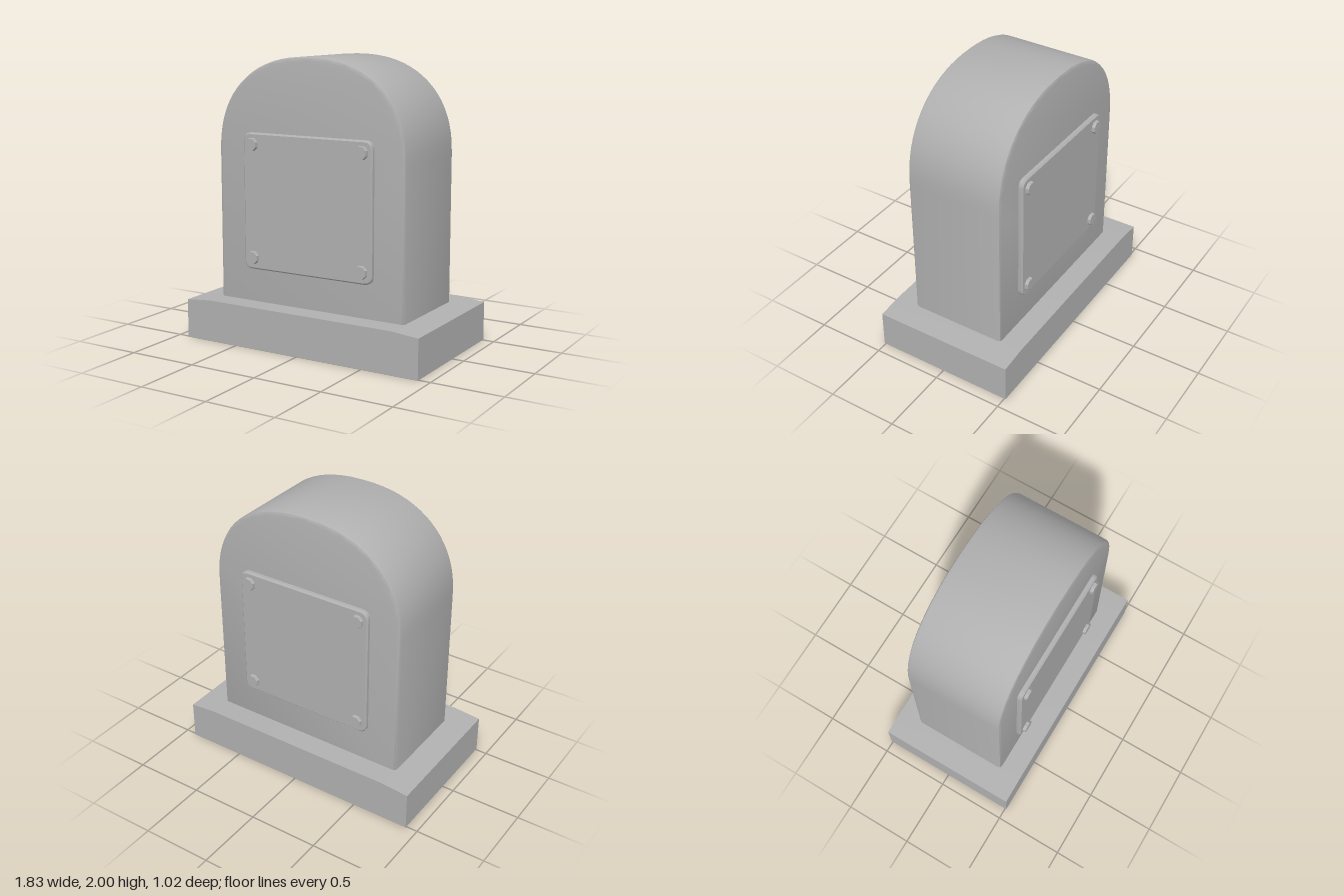
import * as THREE from 'three';
import { toCreasedNormals } from 'three/addons/utils/BufferGeometryUtils.js';

// Extrude a shape with a rounded rim, centred on z = 0, overall depth included
function slab(shape, depth, bevel, segments = 2) {
  const geo = new THREE.ExtrudeGeometry(shape, {
    depth: depth - 2 * bevel, steps: 1, curveSegments: 6,
    bevelEnabled: bevel > 0, bevelThickness: bevel, bevelSize: bevel,
    bevelOffset: -bevel, bevelSegments: segments,
  });
  geo.translate(0, 0, -depth / 2 + bevel);
  return toCreasedNormals(geo, 0.6);
}

// Tombstone outline: straight sides under a slightly squared arch
function archShape() {
  const halfWidth = 0.73, spring = 1.33, rise = 0.67, power = 2 / 2.3, n = 36;
  const points = [new THREE.Vector2(-halfWidth, 0.2), new THREE.Vector2(halfWidth, 0.2)];
  for (let i = 0; i <= n; i++) {
    const a = (i / n) * Math.PI, c = Math.cos(a), s = Math.max(0, Math.sin(a));
    points.push(new THREE.Vector2(
      halfWidth * Math.sign(c) * Math.abs(c) ** power,
      spring + rise * s ** power));
  }
  return new THREE.Shape(points);
}

function roundedRect(w, h, r) {
  const s = new THREE.Shape(), x = w / 2, y = h / 2;
  s.moveTo(-x + r, -y);
  s.lineTo(x - r, -y).quadraticCurveTo(x, -y, x, -y + r);
  s.lineTo(x, y - r).quadraticCurveTo(x, y, x - r, y);
  s.lineTo(-x + r, y).quadraticCurveTo(-x, y, -x, y - r);
  s.lineTo(-x, -y + r).quadraticCurveTo(-x, -y, -x + r, -y);
  return s;
}

export function createModel() {
  const group = new THREE.Group();
  const stone = new THREE.MeshStandardMaterial({ color: 0xb0b0b0 });
  stone.name = 'grey stone';

  const add = (name, geo, parent = group) => {
    const mesh = new THREE.Mesh(geo, stone);
    mesh.name = name;
    parent.add(mesh);
    return mesh;
  };

  // Plinth, its top rising a little towards the body
  const plinth = new THREE.Shape([
    [-0.917, 0], [0.917, 0], [0.917, 0.275], [0.72, 0.293], [-0.72, 0.293], [-0.917, 0.275],
  ].map(([x, y]) => new THREE.Vector2(x, y)));
  add('plinth', slab(plinth, 1.02, 0));

  // Arched body
  add('archedBody', slab(archShape(), 0.7, 0.022));

  // Bolted plate on the front and the same on the back
  const plateGeo = slab(roundedRect(1.01, 0.95, 0.06), 0.08, 0.01, 1);
  const boltGeo = toCreasedNormals(new THREE.CylinderGeometry(0.044, 0.051, 0.05, 8)
    .rotateY(Math.PI / 8).rotateX(Math.PI / 2), 0.6);
  for (const side of [1, -1]) {
    const panel = new THREE.Group();
    panel.name = side > 0 ? 'frontPanel' : 'backPanel';
    panel.position.y = 1.005;
    if (side < 0) panel.rotation.y = Math.PI;
    group.add(panel);
    add('plate', plateGeo, panel).position.z = 0.342;
    for (const x of [-0.43, 0.43]) {
      for (const y of [-0.392, 0.395]) add('bolt', boltGeo, panel).position.set(x, y, 0.38);
    }
  }
  return group;
}
